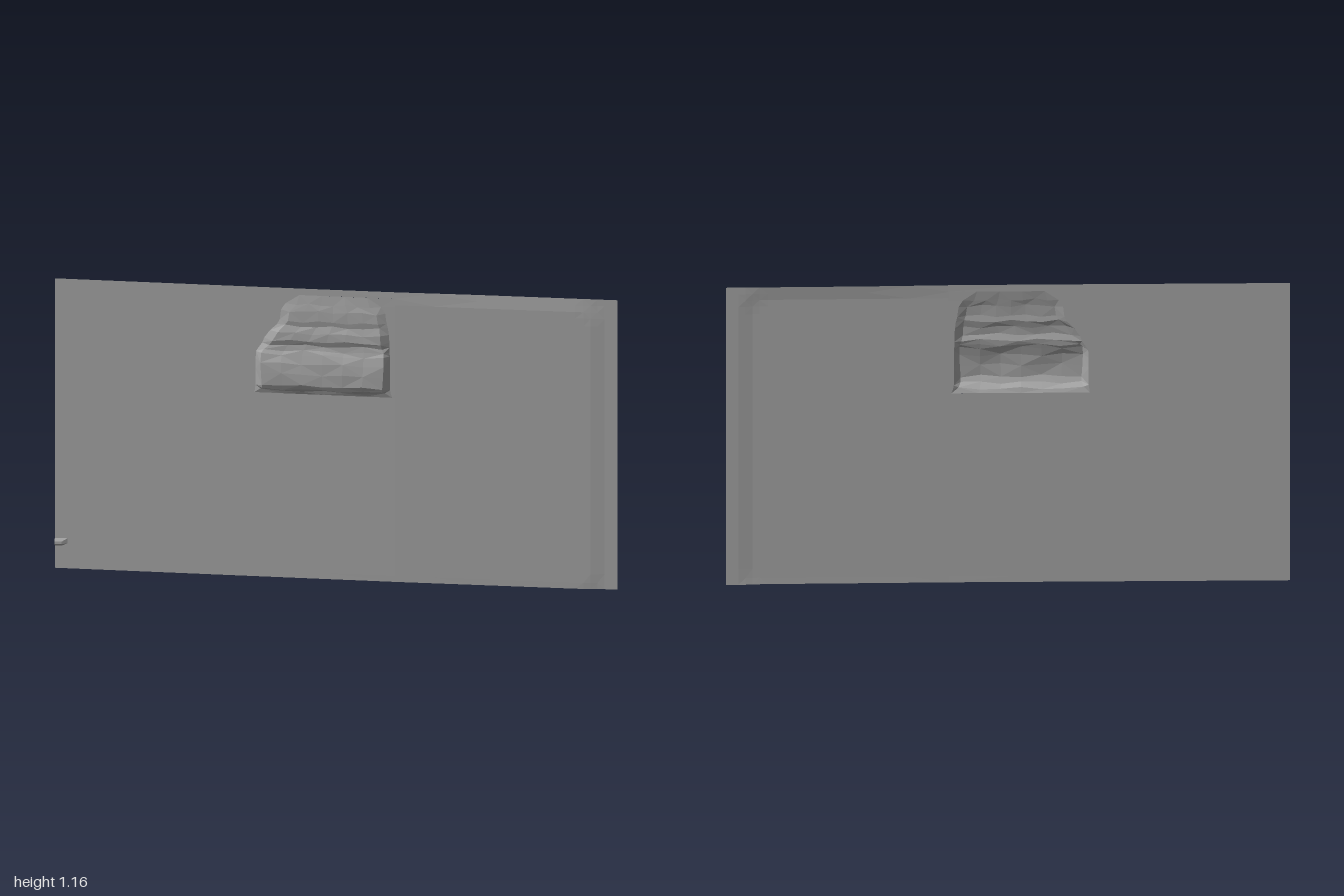
import * as THREE from 'three';

const grey = new THREE.MeshStandardMaterial({ color: 0xa3a3a3, side: THREE.DoubleSide, flatShading: true });
grey.name = 'plain grey';

// Surface from equal-length rows of [x, y, z]; skip(x, y) leaves out cells by their centre
function loft(name, rows, skip = () => false) {
  const n = rows[0].length, index = [];
  for (let j = 0; j < rows.length - 1; j++) {
    for (let i = 0; i < n - 1; i++) {
      const p = rows[j][i], q = rows[j + 1][i + 1];
      if (skip((p[0] + q[0]) / 2, (p[1] + q[1]) / 2)) continue;
      const a = j * n + i, b = a + 1, c = a + n, d = c + 1;
      if ((i + j) % 2) index.push(a, b, d, a, d, c);
      else index.push(a, b, c, b, d, c);
    }
  }
  const geometry = new THREE.BufferGeometry();
  geometry.setAttribute('position', new THREE.Float32BufferAttribute(rows.flat(2), 3));
  geometry.setIndex(index);
  geometry.computeVertexNormals();
  const mesh = new THREE.Mesh(geometry, grey);
  mesh.name = name;
  return mesh;
}

// Sheet depth: slight slant, bending back beyond a rounded corner on the +x side
function sheetZ(x, y) {
  const slant = x < 0.2 ? -0.01 - 0.001 * (x + 1) : -0.0112 - 0.009 * (x - 0.2);
  const fade = THREE.MathUtils.clamp((x - 0.1) / 0.4, 0, 1);
  const side = Math.max(0, x - 0.85);
  const top = Math.max(0, y - 1.05);
  const bottom = Math.max(0, 0.06 - y);
  const d = Math.hypot(side, top, bottom) - 0.055;
  return slant - 0.005 * fade * THREE.MathUtils.clamp(d / 0.05, 0, 1);
}

export function createModel() {
  const group = new THREE.Group();
  group.name = 'reliefPanel';
  const L = -0.3, R = 0.21, B = 0.735, T = 1.13;

  // Thin sheet with an opening for the relief
  const xs = [-1, -0.96, -0.65, L, -0.05, R, 0.35, 0.5, 0.7, 0.85, 0.88, 0.905, 0.93, 0.955, 1];
  const ys = [0, 0.025, 0.06, 0.3, 0.55, B, 0.9, 1.05, 1.08, 1.105, T, 1.156];
  group.add(loft('sheet', ys.map((y) => xs.map((x) => [x, y, sheetZ(x, y)])),
    (x, y) => x > L && x < R && y > B && y < T));

  // Stepped relief: y, left edge, right edge, depth, bevel width
  const profile = [
    [B, -0.29, 0.2, 0, 0.02],
    [0.75, -0.288, 0.195, 0.006, 0.02],
    [0.765, -0.286, 0.192, 0.026, 0.025],
    [0.785, -0.286, 0.192, 0.035, 0.025],
    [0.83, -0.286, 0.192, 0.035, 0.022],
    [0.87, -0.286, 0.192, 0.031, 0.02],
    [0.9, -0.284, 0.192, 0.022, 0.02],
    [0.915, -0.275, 0.19, 0.015, 0.02],
    [0.935, -0.262, 0.19, 0.012, 0.025],
    [0.955, -0.255, 0.19, 0.019, 0.03],
    [0.985, -0.235, 0.188, 0.017, 0.03],
    [1.01, -0.21, 0.185, 0.009, 0.03],
    [1.03, -0.2, 0.18, 0.012, 0.03],
    [1.07, -0.195, 0.175, 0.01, 0.03],
    [1.095, -0.18, 0.16, 0.005, 0.04],
    [T, -0.17, 0.15, 0, 0.04],
  ];
  const rows = profile.map(([y, x0, x1, depth, bevel], j) => {
    const row = [[L, y, sheetZ(L, y)], [x0, y, sheetZ(x0, y)]];
    for (let k = 0; k <= 6; k++) {
      const x = THREE.MathUtils.lerp(x0 + bevel, x1 - bevel, k / 6);
      // Gentle unevenness along each ledge
      const edge = j > 0 && j < profile.length - 1 ? 1 : 0;
      const wobble = edge * Math.sin(k * 2.1 + j * 1.3);
      row.push([x, y + 0.005 * wobble, sheetZ(x, y) + depth * (1 + 0.08 * wobble)]);
    }
    row.push([x1, y, sheetZ(x1, y)], [R, y, sheetZ(R, y)]);
    return row;
  });
  group.add(loft('relief', rows));

  // Small raised nub near the lower corner
  const nub = [0.09, 0.1, 0.11, 0.12].map((y, j) => [-1, -0.975, -0.955].map((x, i) =>
    [x, y, sheetZ(x, y) + (i < 2 && j % 3 ? 0.009 : 0.0005)]));
  group.add(loft('cornerNub', nub));

  return group;
}
